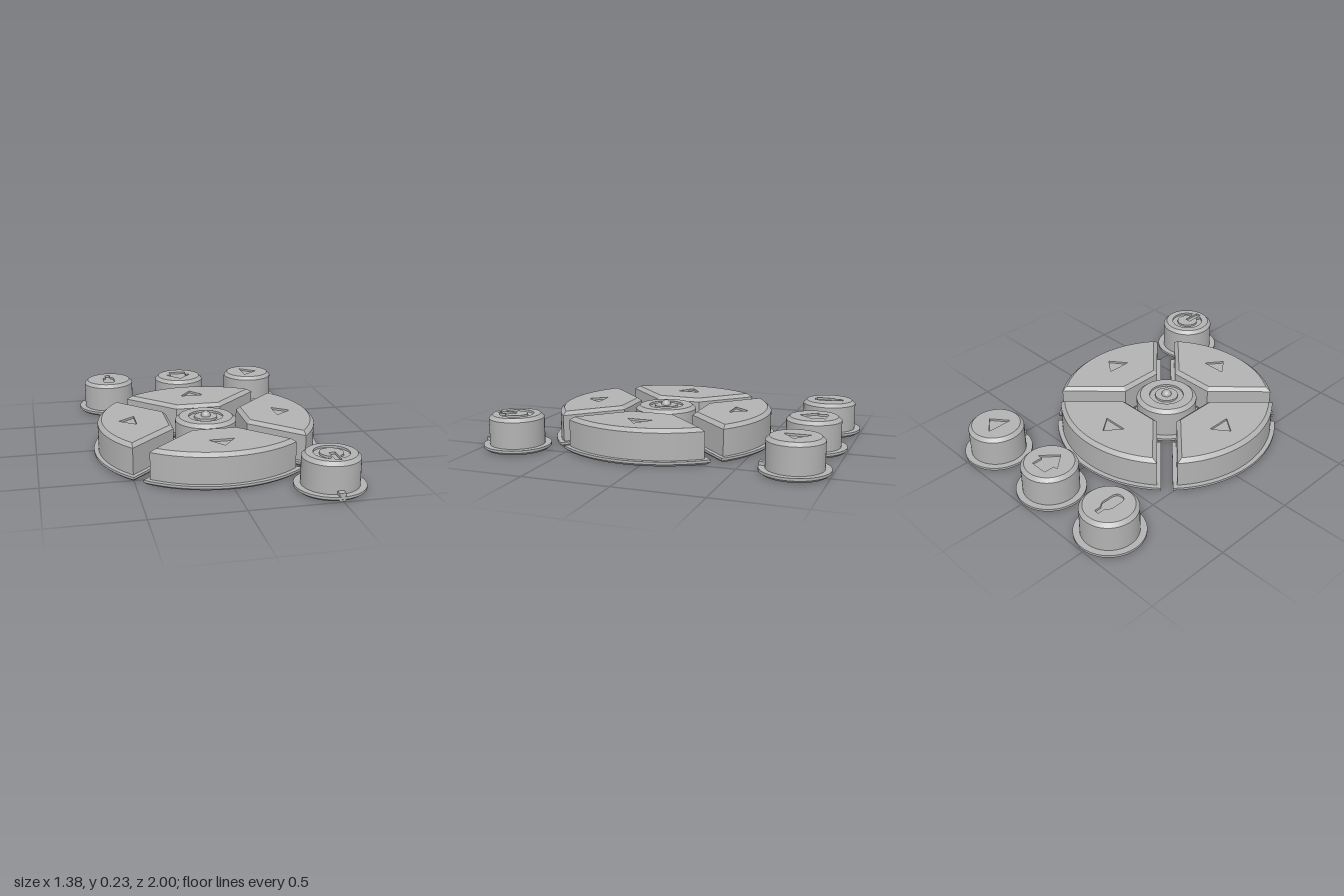
import * as THREE from 'three';
import { mergeGeometries, toCreasedNormals } from 'three/addons/utils/BufferGeometryUtils.js';

const V = (x, y) => new THREE.Vector2(x, y);
const FLANGE_TOP = 0.028, BEVEL_Y = 0.18, TOP = 0.2, ENGRAVED = 0.188, SOCKET_TOP = 0.12;

// Outlines are drawn as seen from above: x to the right, y away from the front (-z)
const arc = (r, a, b, n) => Array.from({ length: n + 1 }, (_, i) => {
  const t = a + (b - a) * i / n;
  return V(r * Math.cos(t), r * Math.sin(t));
});
const circle = (r, n = 64) => arc(r, 0, Math.PI * 2, n).slice(0, n);
const ccw = (pts) => THREE.ShapeUtils.isClockWise(pts) ? pts.slice().reverse() : pts;
const poly = (...xy) => ccw(xy.map(([x, y]) => V(x, y)));

// Walls through a stack of matching outlines [points, height]
function walls(levels) {
  const pos = [], idx = [], n = levels[0][0].length;
  levels.forEach(([pts, y]) => pts.forEach((p) => pos.push(p.x, y, -p.y)));
  for (let l = 0; l < levels.length - 1; l++) {
    for (let i = 0; i < n; i++) {
      const a = l * n + i, b = l * n + (i + 1) % n;
      idx.push(a, b, b + n, a, b + n, a + n);
    }
  }
  const g = new THREE.BufferGeometry();
  g.setAttribute('position', new THREE.Float32BufferAttribute(pos, 3));
  g.setIndex(idx);
  return g.toNonIndexed();
}

// Flat face with holes, facing up or down
function cap(pts, y, up, holes = []) {
  const shape = new THREE.Shape(pts);
  shape.holes = holes.map((h) => new THREE.Path(h));
  const g = new THREE.ShapeGeometry(shape).rotateX(-Math.PI / 2).translate(0, y, 0);
  if (!up) g.setIndex(Array.from(g.index.array).reverse());
  g.deleteAttribute('uv');
  g.deleteAttribute('normal');
  return g.toNonIndexed();
}

// Closed solid with engraved pockets on top and a socket below.
// A socket given with through = true pierces the whole solid.
function solid(levels, { pockets = [], socket = null, through = false } = {}) {
  const [bottom, y0] = levels[0], [top, y1] = levels[levels.length - 1];
  const sockets = socket ? [socket] : [];
  const parts = [
    walls(levels),
    cap(bottom, y0, false, sockets),
    cap(top, y1, true, through ? sockets : pockets),
  ];
  pockets.forEach((p) => {
    parts.push(walls([[p.slice().reverse(), ENGRAVED], [p.slice().reverse(), y1]]));
    parts.push(cap(p, ENGRAVED, true));
  });
  sockets.forEach((s) => {
    const end = through ? y1 : SOCKET_TOP, r = s.slice().reverse();
    parts.push(walls([[r, y0], [r, end]]));
    if (!through) parts.push(cap(s, end, false));
  });
  return toCreasedNormals(mergeGeometries(parts), 0.5);
}

// Quarter sector: sides parallel to the diagonals, inner edge flat or concave
function sector(r, offset, inner, concave) {
  const a = Math.PI / 4 + Math.asin(offset / r);
  const pts = arc(r, a, Math.PI - a, 32);
  if (concave) {
    const b = Math.PI / 4 + Math.asin(offset / inner);
    return pts.concat(arc(inner, Math.PI - b, b, 12));
  }
  const x = inner - offset * Math.SQRT2;
  return pts.concat([V(-x, inner), V(x, inner)]);
}

const hexSocket = (cy = 0) => circle(0.08, 6).map((p) => V(p.x, p.y + cy));

// Engraved symbols
const directionMark = poly([-0.071, 0.413], [0.071, 0.413], [0, 0.508]);
const playMark = poly([-0.034, -0.074], [0.061, 0], [-0.034, 0.074]);
const downArrow = poly([-0.052, 0.074], [-0.052, 0.011], [-0.079, 0.011], [0, -0.079],
  [0.079, 0.011], [0.052, 0.011], [0.052, 0.074]);
const bottle = poly([-0.014, 0.085], [-0.014, 0.042], [-0.03, 0.025], [-0.035, 0.01], [-0.035, -0.06],
  [-0.026, -0.08], [-0.012, -0.087], [0.012, -0.087], [0.026, -0.08], [0.035, -0.06], [0.035, 0.01],
  [0.03, 0.025], [0.014, 0.042], [0.014, 0.085]);
const s0 = -Math.PI / 2 + 0.38, s1 = Math.PI * 1.5 - 0.38;
const powerRing = arc(0.097, s0, s1, 40).concat(arc(0.064, s1, s0, 40));
const powerBar = poly([-0.017, -0.005], [0.017, -0.005], [0.017, -0.111], [-0.017, -0.111]);

export function createModel() {
  const model = new THREE.Group();
  model.name = 'keypadButtons';
  const grey = new THREE.MeshStandardMaterial({ color: 0xb2b2b2 });
  grey.name = 'buttonGrey';

  const add = (parent, name, geometry) => {
    const mesh = new THREE.Mesh(geometry, grey);
    mesh.name = name;
    parent.add(mesh);
    return mesh;
  };
  const group = (name, x, z) => {
    const g = new THREE.Group();
    g.name = name;
    g.position.set(x, 0, z);
    model.add(g);
    return g;
  };

  // Flange with a chamfered underside, and a body with a chamfered top
  const button = (g, outline, socket, pockets) => {
    const [flangeLow, flange, body, face] = outline;
    add(g, 'flange', solid([[flangeLow, 0], [flange, 0.014], [flange, FLANGE_TOP]], { socket, through: true }));
    add(g, 'body', solid([[body, FLANGE_TOP], [body, BEVEL_Y], [face, TOP]], { socket, pockets }));
  };

  // Round function buttons with a locating tab at the front
  [
    ['bottleButton', -0.495, -0.807, [bottle]],
    ['downArrowButton', -0.02, -0.807, [downArrow]],
    ['playButton', 0.457, -0.807, [playMark]],
    ['powerButton', 0.494, 0.807, [powerRing, powerBar]],
  ].forEach(([name, x, z, pockets]) => {
    const g = group(name, x, z);
    button(g, [0.175, 0.193, 0.157, 0.137].map((r) => circle(r)), hexSocket(), pockets);
    add(g, 'locatingTab', new THREE.BoxGeometry(0.035, 0.046, 0.045).translate(0, 0.025, 0.1685));
  });

  // Four direction buttons around the centre
  ['upButton', 'leftwardButton', 'downButton', 'rightwardButton'].forEach((name, i) => {
    const g = group(name, -0.02, 0.087);
    g.rotation.y = i * Math.PI / 2;
    button(g, [
      sector(0.635, 0.048, 0.262, true),
      sector(0.653, 0.032, 0.247, true),
      sector(0.627, 0.056, 0.214, false),
      sector(0.604, 0.079, 0.237, false),
    ], hexSocket(0.46), [directionMark]);
  });

  // Centre button: ring groove with a raised island and a domed pip
  const centre = group('centreButton', -0.02, 0.087);
  button(centre, [0.196, 0.214, 0.178, 0.156].map((r) => circle(r)), hexSocket(), [circle(0.1)]);
  add(centre, 'island', solid([[circle(0.067), ENGRAVED], [circle(0.067), TOP]]));
  add(centre, 'pip', new THREE.SphereGeometry(0.029, 32, 16)).position.y = TOP;

  return model;
}
